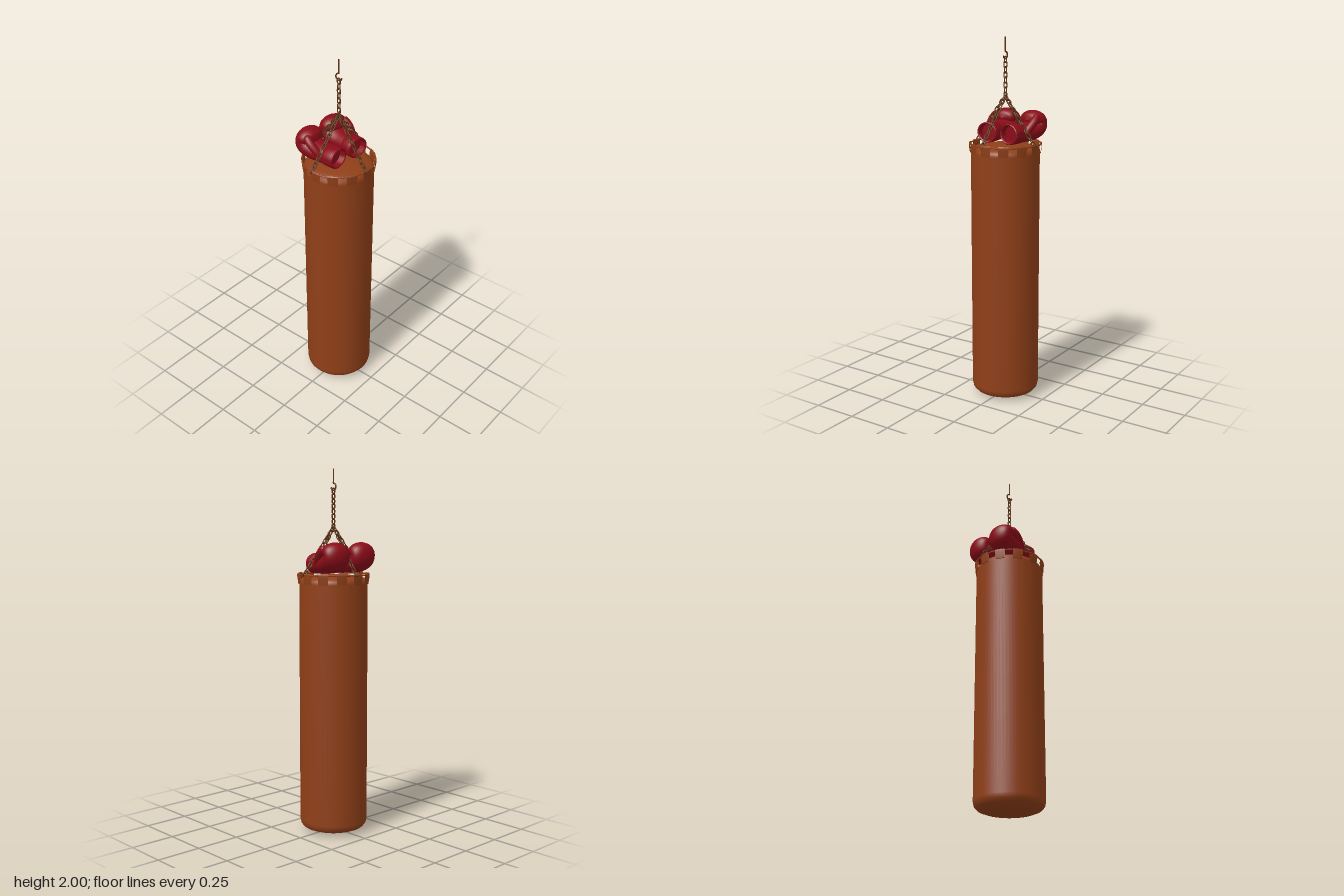
import * as THREE from 'three';
import { toCreasedNormals } from 'three/addons/utils/BufferGeometryUtils.js';

const V = (x, y, z) => new THREE.Vector3(x, y, z);
const P = (x, y) => new THREE.Vector2(x, y);
const material = (color) => new THREE.MeshStandardMaterial({ color, side: THREE.DoubleSide });
const leather = material(0x8f3f18);
const red = material(0x8a0c18);
const metal = material(0x5c3212);

function add(parent, name, geometry, mat) {
  const mesh = new THREE.Mesh(geometry, mat);
  mesh.name = name;
  parent.add(mesh);
  return mesh;
}

// One oval chain link, long in y
function linkGeometry() {
  const pts = [];
  for (let i = 0; i < 12; i++) {
    const a = (i / 12) * Math.PI * 2;
    pts.push(V(0.0095 * Math.cos(a), 0.0095 * Math.sin(a) + 0.007 * Math.sign(Math.round(Math.sin(a) * 100)), 0));
  }
  return new THREE.TubeGeometry(new THREE.CatmullRomCurve3(pts, true), 24, 0.0033, 6, true);
}

// A row of links, each turned a quarter from the last
function chain(name, from, to, count, geometry) {
  const group = new THREE.Group();
  group.name = name;
  const length = from.distanceTo(to);
  for (let i = 0; i < count; i++) {
    const link = add(group, 'chainLink', geometry, metal);
    link.position.y = (length * (i + 0.5)) / count;
    link.rotation.y = (i % 2) * Math.PI / 2;
  }
  group.position.copy(from);
  group.quaternion.setFromUnitVectors(V(0, 1, 0), to.clone().sub(from).normalize());
  return group;
}

// Curled mitten: rows are [z, y, half width, half depth, heading in degrees]
function mittenGeometry() {
  const rows = [
    [0.0, 0, 0.060, 0.051, 0], [-0.05, 0, 0.063, 0.051, 0], [-0.10, 0.005, 0.071, 0.054, 15],
    [-0.138, 0.023, 0.076, 0.056, 50], [-0.148, 0.05, 0.077, 0.048, 90],
    [-0.138, 0.066, 0.076, 0.049, 130], [-0.115, 0.070, 0.071, 0.045, 170],
    [-0.09, 0.066, 0.055, 0.032, 185], [-0.076, 0.063, 0.001, 0.001, 185],
  ];
  const path = new THREE.CatmullRomCurve3(rows.map((r) => V(0, r[1], r[0])));
  const size = new THREE.CatmullRomCurve3(rows.map((r) => V(r[2], r[3], r[4] / 1000)));
  const n = 40, sides = 32, position = [], index = [];
  for (let i = 0; i <= n; i++) {
    const c = path.getPoint(i / n), s = size.getPoint(i / n), a = THREE.MathUtils.degToRad(s.z * 1000);
    for (let j = 0; j < sides; j++) {
      const t = (j / sides) * Math.PI * 2, d = s.y * Math.sin(t);
      position.push(s.x * Math.cos(t), c.y + d * Math.cos(a), c.z + d * Math.sin(a));
      if (i < n) {
        const p = i * sides + j, q = i * sides + (j + 1) % sides;
        index.push(p, p + sides, q, q, p + sides, q + sides);
      }
    }
  }
  // Rows run toward -z, so reverse each triangle to face outward
  for (let k = 0; k < index.length; k += 3) [index[k + 1], index[k + 2]] = [index[k + 2], index[k + 1]];
  const g = new THREE.BufferGeometry();
  g.setAttribute('position', new THREE.Float32BufferAttribute(position, 3));
  g.setIndex(index);
  g.computeVertexNormals();
  return g;
}

function glove(name, side) {
  const group = new THREE.Group();
  group.name = name;
  add(group, 'mitten', mittenGeometry(), red);

  // Cuff with a hem groove and a recessed opening
  const cuff = new THREE.LatheGeometry([
    P(0.051, -0.008), P(0.055, 0), P(0.056, 0.05), P(0.0545, 0.053), P(0.056, 0.056),
    P(0.055, 0.063), P(0.051, 0.066), P(0.046, 0.063), P(0.045, 0.03), P(0, 0.03),
  ], 40);
  cuff.rotateX(Math.PI / 2);
  cuff.scale(1.13, 1, 1);
  add(group, 'cuff', toCreasedNormals(cuff, 0.7), red);

  // Thumb on the outer side, widening to a round tip
  const curve = new THREE.CatmullRomCurve3([
    V(side * 0.036, -0.01, -0.015), V(side * 0.052, 0.03, -0.048),
    V(side * 0.057, 0.06, -0.078), V(side * 0.052, 0.077, -0.10),
  ]);
  add(group, 'thumb', new THREE.TubeGeometry(curve, 16, 0.022, 16), red);
  add(group, 'thumbTip', new THREE.SphereGeometry(0.022, 16, 12), red).position.copy(curve.getPoint(1));
  return group;
}

export function createModel() {
  const model = new THREE.Group();
  model.name = 'punchingBag';

  // Bag body with domed ends
  const body = new THREE.LatheGeometry([
    P(0, 0), P(0.08, 0.005), P(0.14, 0.015), P(0.168, 0.026), P(0.182, 0.042), P(0.187, 0.065),
    P(0.187, 1.385), P(0.184, 1.402), P(0.172, 1.415), P(0.14, 1.425), P(0.08, 1.433), P(0, 1.436),
  ], 64);
  add(model, 'bagBody', body, leather);

  // Hanging ring held by strap loops
  const ring = add(model, 'rimRing', new THREE.TorusGeometry(0.193, 0.004, 8, 64), leather);
  ring.rotation.x = Math.PI / 2;
  ring.position.y = 1.435;
  const straps = 12, width = 0.28;
  const profile = [
    P(0.187, 1.385), P(0.192, 1.385), P(0.198, 1.425), P(0.198, 1.438), P(0.194, 1.443),
    P(0.189, 1.438), P(0.187, 1.42), P(0.187, 1.385),
  ];
  for (let i = 0; i < straps; i++) {
    const start = (i / straps) * Math.PI * 2 - width / 2;
    add(model, 'strapLoop', toCreasedNormals(new THREE.LatheGeometry(profile, 6, start, width), 0.6), leather);
  }

  // Four slanted chains meeting in one upright chain
  const link = linkGeometry();
  const apex = V(0, 1.69, 0);
  for (let i = 0; i < 4; i++) {
    const a = i * Math.PI / 2 - 0.1;
    const foot = V(0.199 * Math.sin(a), 1.435, 0.199 * Math.cos(a));
    model.add(chain('slantedChain', foot, apex, 12, link));
  }
  model.add(chain('uprightChain', V(0, 1.68, 0), V(0, 1.895, 0), 8, link));

  // Open hook with a straight shank
  const hookPoints = [V(0, 2, 0), V(0, 1.965, 0), V(0, 1.932, 0)];
  for (let i = 0; i <= 8; i++) {
    const a = Math.PI / 2 - (i / 8) * Math.PI * 1.45;
    hookPoints.push(V(0, 1.905 + 0.019 * Math.sin(a), -0.019 * Math.cos(a)));
  }
  add(model, 'hook', new THREE.TubeGeometry(new THREE.CatmullRomCurve3(hookPoints), 48, 0.0038, 8), metal);

  // Pair of gloves resting on the bag
  const rightGlove = glove('rightGlove', -1);
  rightGlove.position.set(-0.078, 1.495, 0);
  const leftGlove = glove('leftGlove', 1);
  leftGlove.position.set(0.078, 1.495, 0.01);
  leftGlove.rotation.y = -0.18;
  model.add(rightGlove, leftGlove);

  return model;
}
